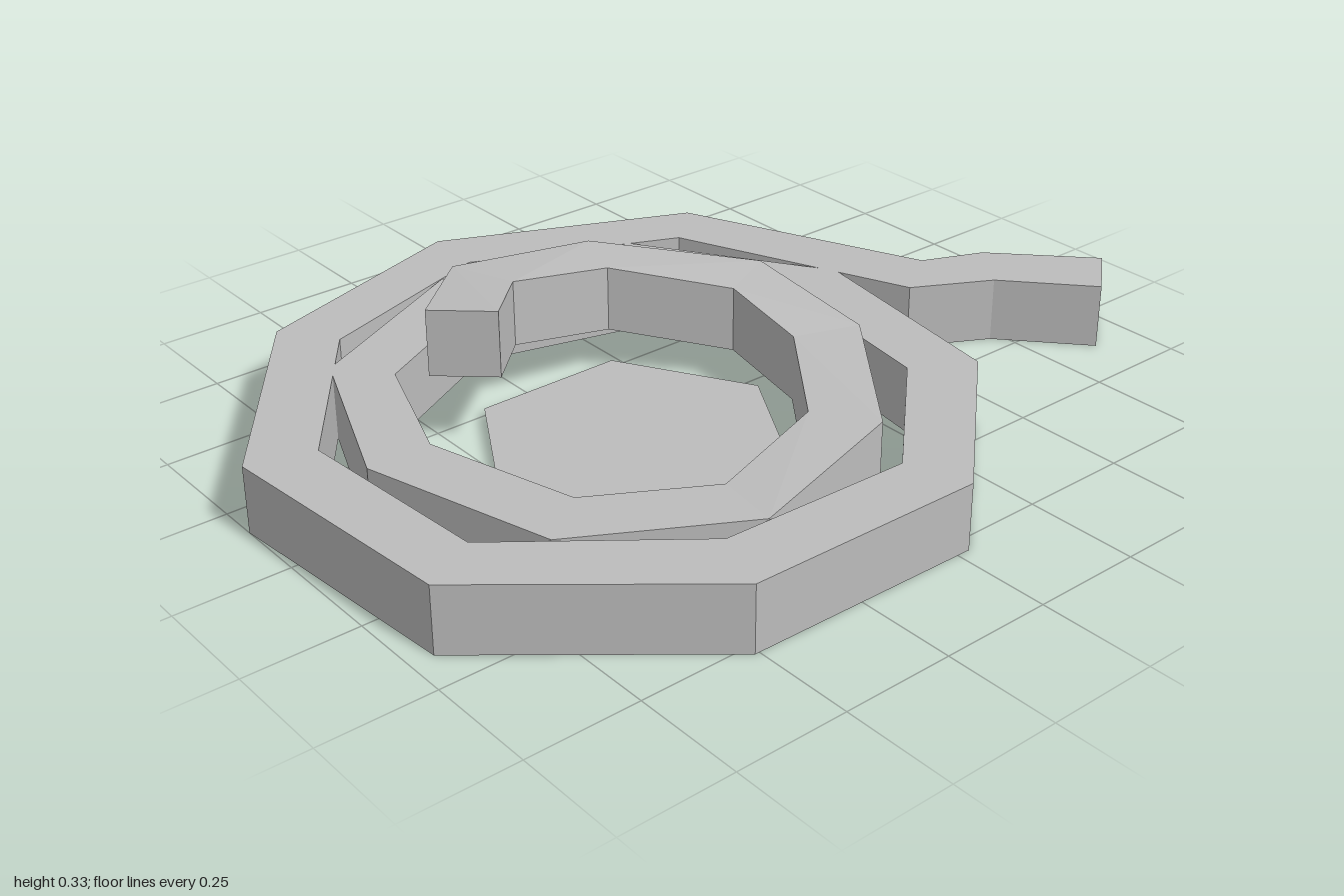
import * as THREE from 'three';

// Stations along the rope: [outer x, outer z, inner x, inner z, lift]
const STATIONS = [
  // loose tail
  [1, 0.28, 0.88, 0.38, 0], [0.81, 0.08, 0.72, 0.2, 0], [0.67, 0.02, 0.545, 0.105, 0],
  // outer turn
  [0.43, -0.54, 0.32, -0.44, 0], [-0.13, -0.79, -0.14, -0.645, 0], [-0.66, -0.62, -0.575, -0.5, 0],
  [-1, -0.16, -0.855, -0.12, 0], [-0.95, 0.41, -0.82, 0.34, 0], [-0.51, 0.775, -0.455, 0.63, 0],
  [0.03, 0.785, -0.02, 0.645, 0], [0.4, 0.45, 0.265, 0.375, 0],
  // inner turn
  [0.48, -0.07, 0.33, -0.06, 0], [0.21, -0.49, 0.12, -0.37, 0], [-0.24, -0.61, -0.24, -0.465, 0],
  [-0.66, -0.4, -0.57, -0.29, 0], [-0.82, 0, -0.675, 0, 0], [-0.7, 0.43, -0.58, 0.34, 0],
  [-0.35, 0.63, -0.33, 0.485, 0],
  // rising end
  [0.04, 0.53, -0.045, 0.405, 0.02], [0.265, 0.23, 0.12, 0.18, 0.045], [0.275, -0.1, 0.135, -0.03, 0.075],
  [0, -0.37, -0.055, -0.23, 0.11], [-0.35, -0.39, -0.295, -0.245, 0.145], [-0.55, -0.19, -0.44, -0.09, 0.18],
];
const THICKNESS = 0.15;

// Square-section band swept through the stations, with faceted normals
function ropeGeometry() {
  const rings = STATIONS.map(([ox, oz, ix, iz, y]) => [
    [ox, y, oz], [ox, y + THICKNESS, oz], [ix, y + THICKNESS, iz], [ix, y, iz],
  ]);
  const positions = [];
  const quad = (a, b, c, d) => positions.push(...a, ...b, ...c, ...a, ...c, ...d);
  for (let k = 0; k < rings.length - 1; k++) {
    const p = rings[k], q = rings[k + 1];
    for (let j = 0; j < 4; j++) {
      const n = (j + 1) % 4;
      quad(p[j], q[j], q[n], p[n]);
    }
  }
  quad(...rings[0]);
  quad(...[...rings[rings.length - 1]].reverse());
  const geometry = new THREE.BufferGeometry();
  geometry.setAttribute('position', new THREE.Float32BufferAttribute(positions, 3));
  geometry.computeVertexNormals();
  return geometry;
}

export function createModel() {
  const group = new THREE.Group();
  group.name = 'coiledRope';
  const grey = new THREE.MeshStandardMaterial({ color: 0xbcbcbc, side: THREE.DoubleSide });
  grey.name = 'grey';

  const rope = new THREE.Mesh(ropeGeometry(), grey);
  rope.name = 'rope';
  group.add(rope);

  // Flat hexagon in the middle of the coil
  const centre = new THREE.Mesh(new THREE.CircleGeometry(0.345, 6).rotateX(-Math.PI / 2), grey);
  centre.name = 'centrePlate';
  centre.position.set(-0.215, 0.025, 0.06);
  group.add(centre);
  return group;
}
